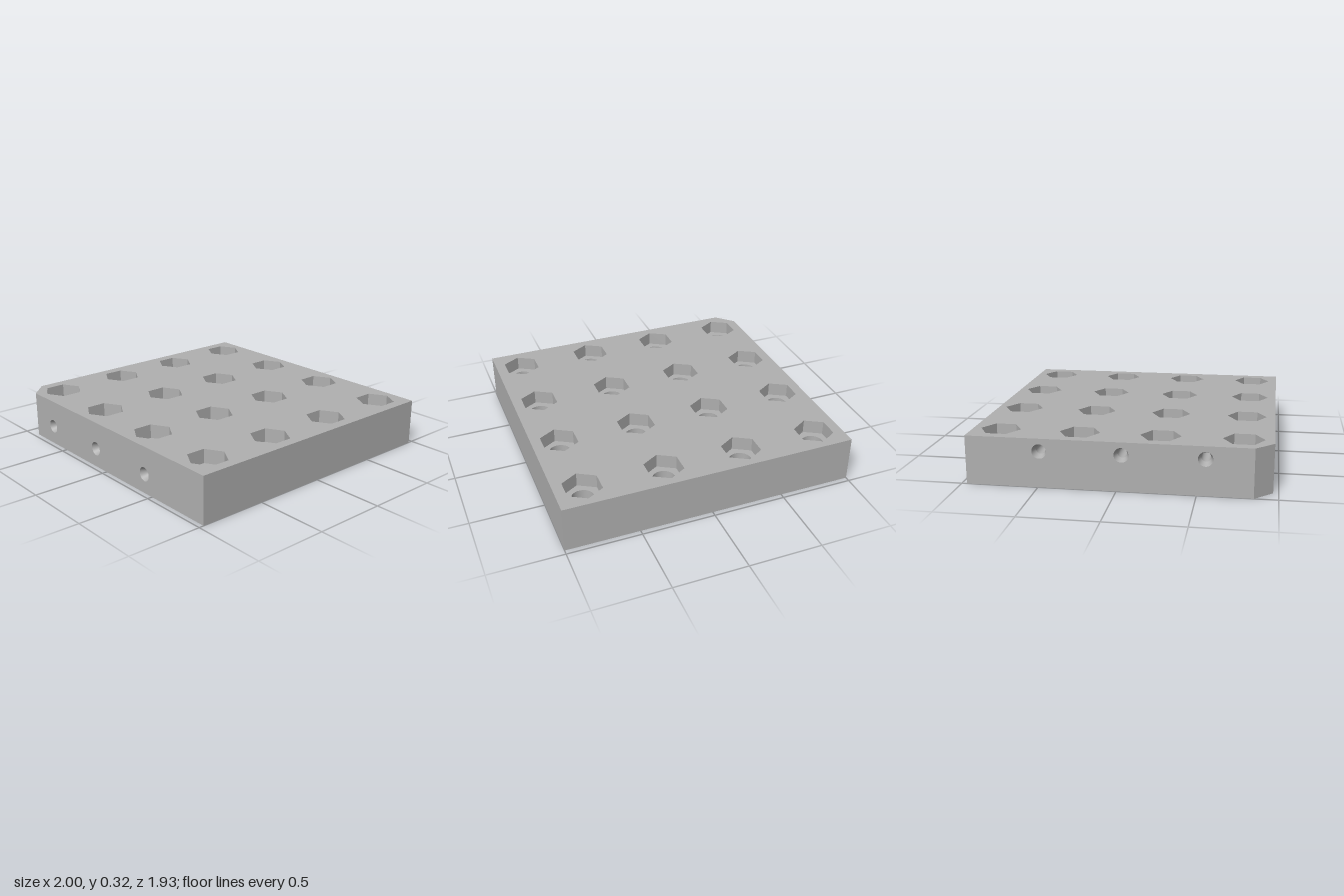
import * as THREE from 'three';
import { mergeGeometries } from 'three/addons/utils/BufferGeometryUtils.js';

const H = 0.32, W = 1, D = 0.966, CUT = 0.116;      // height, half width, half depth, cut corner
const HEX_R = 0.132, HEX_DEPTH = 0.095, BORE_R = 0.075;
const SLOT_R = 0.07, SLOT_L = 0.07, STEM_R = 0.03;  // funnel slots under the plate
const MOUTH_R = 0.047, CHANNEL_R = 0.03;
const COLS = [-0.815, -0.272, 0.272, 0.815];
const ROWS = [-0.784, -0.264, 0.256, 0.776];
const CHANNEL_X = [-0.66, -0.118, 0.425], CHANNEL_Z = [-0.487, 0.033, 0.553];
const FRONT_Y = 0.13, SIDE_Y = 0.237;

const vec = (x, y) => new THREE.Vector2(x, y);
const circle = (x, y, r, n = 32) => Array.from({ length: n }, (_, i) =>
  vec(x + r * Math.sin(i * 2 * Math.PI / n), y + r * Math.cos(i * 2 * Math.PI / n)));

// Two half circles pulled apart along the second axis
function stadium(x, y, r, l) {
  const pts = [];
  for (const s of [1, -1]) for (let i = 0; i <= 12; i++) {
    const t = i * Math.PI / 12;
    pts.push(vec(x + s * r * Math.cos(t), y + s * (r * Math.sin(t) + l)));
  }
  return pts;
}

function panel(outline, holes = []) {
  const shape = new THREE.Shape(outline);
  holes.forEach(h => shape.holes.push(new THREE.Path(h)));
  return new THREE.ShapeGeometry(shape);
}

const rect = (x0, x1) => [vec(x0, 0), vec(x1, 0), vec(x1, H), vec(x0, H)];
const plan = s => [vec(-W, -D * s), vec(W, -D * s), vec(W, D * s), vec(-W + CUT, D * s), vec(-W, (D - CUT) * s)];
const grid = (xs, zs, fn) => xs.flatMap(x => zs.map(z => fn(x, z)));

// Skin between closed rings of equal point count, each { pts, y }
function loft(rings) {
  const pos = [], idx = [], n = rings[0].pts.length;
  rings.forEach(({ pts, y }, k) => pts.forEach((p, i) => {
    pos.push(p.x, y, p.y);
    if (k) {
      const a = k * n + i, b = k * n + (i + 1) % n;
      idx.push(a - n, a, b, a - n, b, b - n);
    }
  }));
  const g = new THREE.BufferGeometry();
  g.setAttribute('position', new THREE.Float32BufferAttribute(pos, 3));
  g.setIndex(idx);
  g.computeVertexNormals();
  return g;
}

export function createModel() {
  const model = new THREE.Group();
  const grey = new THREE.MeshStandardMaterial({ color: 0xb0b0b0, side: THREE.DoubleSide });
  const add = (name, geometry) => {
    const mesh = new THREE.Mesh(geometry, grey);
    mesh.name = name;
    model.add(mesh);
  };
  const slotXs = CHANNEL_X.flatMap(x => [x, x + 0.242]);

  // Top and bottom faces
  add('topFace', panel(plan(-1), grid(COLS, ROWS, (x, z) => circle(x, -z, HEX_R, 6)))
    .rotateX(-Math.PI / 2).translate(0, H, 0));
  add('bottomFace', panel(plan(1), [
    ...grid(COLS, ROWS, (x, z) => circle(x, z, BORE_R)),
    ...grid(slotXs, CHANNEL_Z, (x, z) => stadium(x, z, SLOT_R, SLOT_L)),
  ]).rotateX(Math.PI / 2));

  // Sides
  add('frontFace', panel(rect(-W + CUT, W), CHANNEL_X.map(x => circle(x, FRONT_Y, MOUTH_R)))
    .translate(0, 0, D));
  add('rightFace', panel(rect(-D, D - CUT), CHANNEL_Z.map(z => circle(z, SIDE_Y, MOUTH_R)))
    .rotateY(-Math.PI / 2).translate(-W, 0, 0));
  add('backFace', panel(rect(-W, W)).rotateY(Math.PI).translate(0, 0, -D));
  add('leftFace', panel(rect(-D, D)).rotateY(Math.PI / 2).translate(W, 0, 0));
  add('cutCorner', new THREE.PlaneGeometry(CUT * Math.SQRT2, H)
    .rotateY(-Math.PI / 4).translate(-W + CUT / 2, H / 2, D - CUT / 2));

  // Hexagonal nut pockets with bores through to the bottom
  const floorY = H - HEX_DEPTH;
  const hexWall = new THREE.CylinderGeometry(HEX_R, HEX_R, HEX_DEPTH, 6, 1, true).toNonIndexed();
  hexWall.computeVertexNormals();
  hexWall.translate(0, H - HEX_DEPTH / 2, 0);
  const hexFloor = panel(circle(0, 0, HEX_R, 6), [circle(0, 0, BORE_R)])
    .rotateX(-Math.PI / 2).translate(0, floorY, 0);
  const bore = new THREE.CylinderGeometry(BORE_R, BORE_R, floorY, 32, 1, true).translate(0, floorY / 2, 0);
  const spread = (g, xs, zs) => mergeGeometries(grid(xs, zs, (x, z) => g.clone().translate(x, 0, z)));
  add('hexPocketWalls', spread(hexWall, COLS, ROWS));
  add('hexPocketFloors', spread(hexFloor, COLS, ROWS));
  add('bores', spread(bore, COLS, ROWS));

  // Funnel slots narrowing to small stems that reach the wire channels
  const wide = stadium(0, 0, SLOT_R, SLOT_L), narrow = stadium(0, 0, STEM_R, 0);
  const funnel = loft([{ pts: wide, y: 0 }, { pts: narrow, y: 0.07 }]);
  add('slotFunnels', spread(funnel, slotXs, CHANNEL_Z));
  slotXs.forEach((x, i) => {
    const stem = loft([{ pts: narrow, y: 0.07 }, { pts: narrow, y: i % 2 ? SIDE_Y : FRONT_Y }]);
    add('slotStems', spread(stem, [x], CHANNEL_Z));
  });

  // Blind wire channels with flared mouths
  const channel = length => new THREE.LatheGeometry([
    [[MOUTH_R, 0], [CHANNEL_R, 0.05]],
    [[CHANNEL_R, 0.05], [CHANNEL_R, length]],
    [[CHANNEL_R, length], [0, length + 0.02]],
  ].flat().map(([r, y]) => vec(r, y)), 32);
  add('frontChannels', mergeGeometries(CHANNEL_X.map(x =>
    channel(1.6).rotateX(-Math.PI / 2).translate(x, FRONT_Y, D))));
  add('sideChannels', mergeGeometries(CHANNEL_Z.map(z =>
    channel(1.75).rotateZ(-Math.PI / 2).translate(-W, SIDE_Y, z))));

  return model;
}
